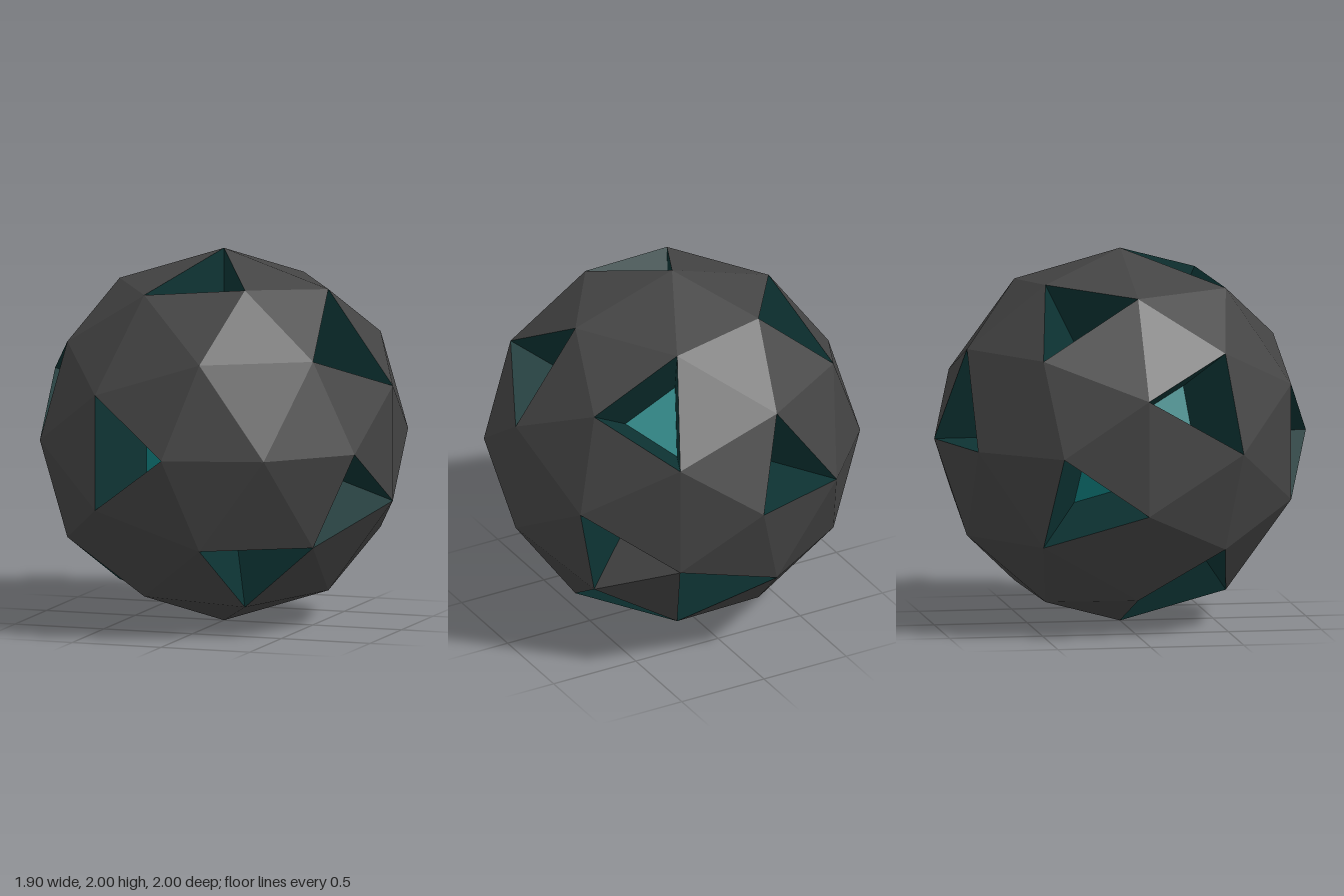
import * as THREE from 'three';

const DEPTH = 0.6; // inner radius of the recesses

// Approximate directions of the recessed panels (x, y, z from the ball's centre)
const RECESSED = [
  [-0.29, 0, 0.9], [0, 0.89, 0.32], [0.74, 0.54, 0.18], [-0.84, 0.28, 0.32],
  [-0.52, 0.72, -0.32], [0.38, -0.62, 0.61], [0.85, -0.27, 0.32],
  [-0.52, -0.72, 0.32], [-0.28, -0.87, 0.18], // these two join into one recess
  [0.47, 0.55, -0.61], [-0.23, 0.17, -0.9], [-0.85, -0.27, -0.32],
  [0.67, -0.28, -0.61], [0.18, -0.54, -0.74], [0.52, -0.72, -0.32],
];
// Middle of the one recess edge whose side wall has the shell colour
const PLAIN_WALL = new THREE.Vector3(0.58, -0.42, -0.65);

// Flat-shaded mesh from a list of triangle corners
function triangleMesh(name, points, color) {
  const geometry = new THREE.BufferGeometry().setFromPoints(points);
  geometry.computeVertexNormals();
  const mesh = new THREE.Mesh(geometry, new THREE.MeshStandardMaterial({ color, flatShading: true }));
  mesh.name = name;
  mesh.position.y = 1;
  return mesh;
}

export function createModel() {
  // Once-divided icosahedron, turned so a five-sided corner faces the front
  const ball = new THREE.IcosahedronGeometry(1, 1);
  ball.rotateX(Math.atan(2 / (1 + Math.sqrt(5))));
  ball.rotateZ(Math.PI / 2);
  const pos = ball.attributes.position;
  const faces = [];
  for (let i = 0; i < pos.count; i += 3) {
    const corners = [0, 1, 2].map((k) => new THREE.Vector3().fromBufferAttribute(pos, i + k));
    const centre = new THREE.Vector3();
    corners.forEach((c) => centre.addScaledVector(c, 1 / 3));
    faces.push({ corners, centre, recessed: false });
  }

  // Mark the panel nearest to each direction
  for (const d of RECESSED) {
    const target = new THREE.Vector3(...d);
    faces.reduce((best, f) =>
      f.centre.distanceTo(target) < best.centre.distanceTo(target) ? f : best).recessed = true;
  }

  const shell = [], walls = [], plainWall = [], floors = [];
  const inner = (v) => v.clone().multiplyScalar(DEPTH);
  const holes = faces.filter((f) => f.recessed);
  const hasCorner = (f, v) => f.corners.some((c) => c.distanceTo(v) < 0.01);

  for (const f of faces) {
    if (!f.recessed) {
      shell.push(...f.corners);
      continue;
    }
    floors.push(...f.corners.map(inner));
    // Radial side walls, left out where two recesses meet
    f.corners.forEach((a, k) => {
      const b = f.corners[(k + 1) % 3];
      if (holes.some((o) => o !== f && hasCorner(o, a) && hasCorner(o, b))) return;
      const middle = a.clone().lerp(b, 0.5);
      const list = middle.distanceTo(PLAIN_WALL) < 0.1 ? plainWall : walls;
      list.push(a, b, inner(a), b, inner(b), inner(a));
    });
  }

  const group = new THREE.Group();
  group.name = 'facetedBall';
  group.add(
    triangleMesh('shellPanels', shell, 0x444444),
    triangleMesh('recessWalls', walls, 0x0d3333),
    triangleMesh('recessFloors', floors, 0x118080),
  );
  if (plainWall.length) group.add(triangleMesh('plainRecessWall', plainWall, 0x444444));
  return group;
}
